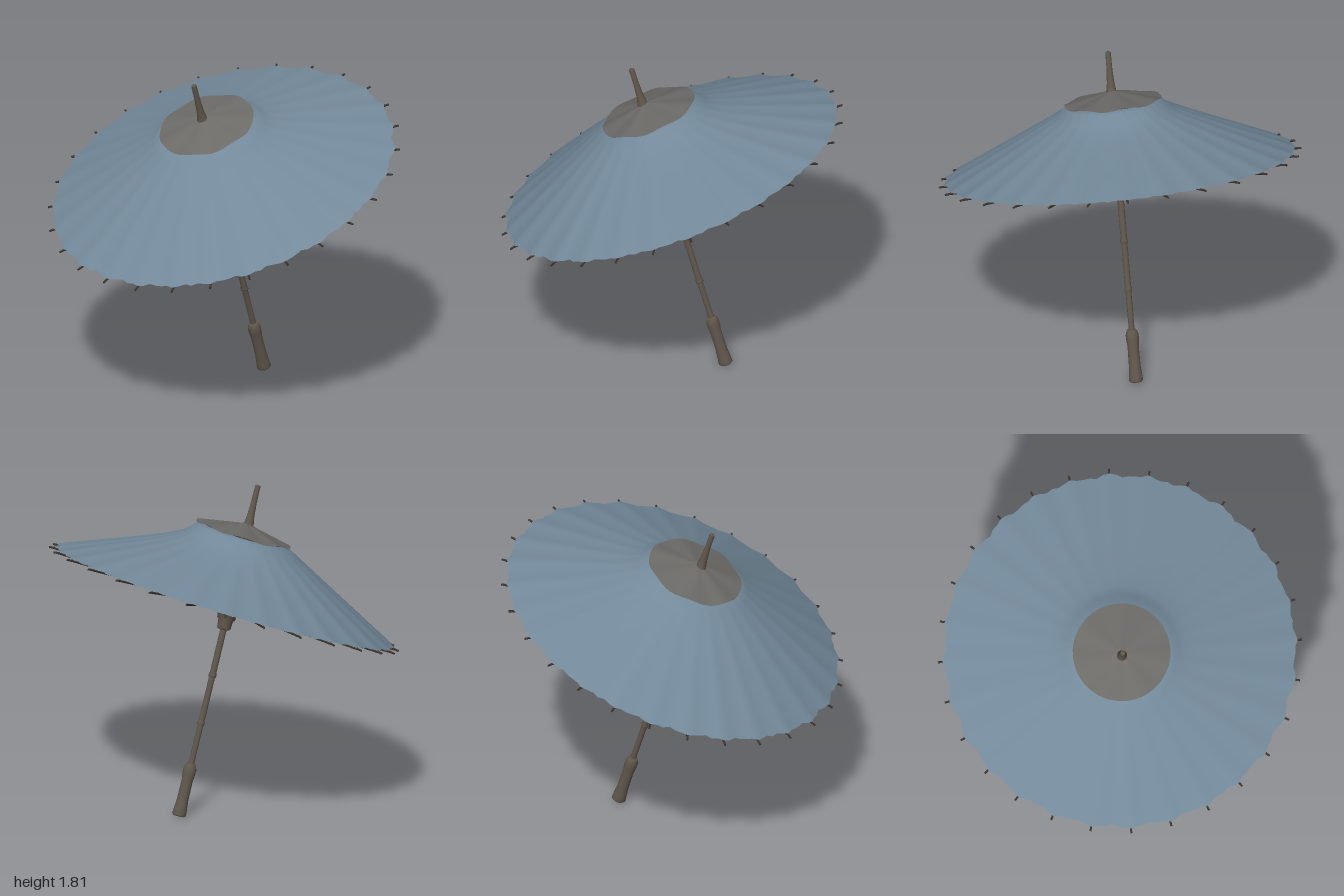
import * as THREE from 'three';
import { mergeGeometries } from 'three/addons/utils/BufferGeometryUtils.js';

const RIBS = 28;
const CAP_R = 0.265, RIM_R = 0.975;

const material = (name, color, side = THREE.FrontSide) => {
  const m = new THREE.MeshStandardMaterial({ color, side });
  m.name = name;
  return m;
};

// Point on a circle around the canopy axis
const polar = (r, a, h, dx = 0) => new THREE.Vector3(dx + r * Math.cos(a), h, r * Math.sin(a));

// Thin tapered rod between two points
function rod(a, b, r0, r1) {
  const dir = b.clone().sub(a);
  const g = new THREE.CylinderGeometry(r1, r0, dir.length(), 5);
  g.applyQuaternion(new THREE.Quaternion().setFromUnitVectors(new THREE.Vector3(0, 1, 0), dir.normalize()));
  const mid = a.clone().add(b).multiplyScalar(0.5);
  return g.translate(mid.x, mid.y, mid.z);
}

// Height of the cloth: nearly a cone, sagging more on the +x side
function clothHeight(r, a) {
  const s = Math.max(0, (r - CAP_R) / (RIM_R - CAP_R));
  const sag = 0.05 * (0.5 + 0.5 * Math.cos(a)) * Math.sin(Math.PI * Math.min(1, s ** 0.4));
  return 0.368 - 0.356 * s - sag;
}

// Pleated cloth with a scalloped, slightly ragged rim
function canopyGeometry() {
  const sub = 6, cols = RIBS * sub, rows = 16, pos = [], idx = [];
  for (let i = 0; i <= rows; i++) {
    const s = i / rows;
    for (let j = 0; j < cols; j++) {
      const a = (j / cols) * Math.PI * 2;
      const between = Math.sin((j % sub) / sub * Math.PI);
      const ragged = 0.007 * Math.sin(j * 2.3) * between;
      const edge = RIM_R - 0.02 * between + ragged;
      const r = 0.22 + (edge - 0.22) * s;
      const p = polar(r, a, clothHeight(r, a) - 0.010 * between * s);
      pos.push(p.x, p.y, p.z);
      if (i < rows) {
        const k = i * cols + j, n = i * cols + (j + 1) % cols;
        idx.push(k, n, k + cols, n, n + cols, k + cols);
      }
    }
  }
  const g = new THREE.BufferGeometry();
  g.setAttribute('position', new THREE.Float32BufferAttribute(pos, 3));
  g.setIndex(idx);
  g.computeVertexNormals();
  return g;
}

// Shallow cone of gathered cloth around the tip
function capGeometry() {
  const g = new THREE.ConeGeometry(0.268, 0.062, RIBS * 2, 3, true);
  const p = g.attributes.position;
  for (let i = 0; i < p.count; i++) {
    const x = p.getX(i), z = p.getZ(i);
    const fold = Math.cos(Math.atan2(z, x) * 7) * 0.006 * Math.hypot(x, z) / 0.268;
    p.setY(i, p.getY(i) + 0.405 + fold);
  }
  g.computeVertexNormals();
  return g;
}

const lathe = (points, sides = 20) =>
  new THREE.LatheGeometry(points.map(([r, y]) => new THREE.Vector2(r, y)), sides);

export function createModel() {
  const cloth = material('blue cloth', 0x73899a, THREE.DoubleSide);
  const grey = material('grey cap cloth', 0x6b6a67, THREE.DoubleSide);
  const wood = material('brown wood', 0x5f564b);
  const dark = material('dark ribs', 0x40362e);

  const model = new THREE.Group();
  model.name = 'parasol';
  const add = (parent, name, geometry, mat) => {
    const mesh = new THREE.Mesh(geometry, mat);
    mesh.name = name;
    parent.add(mesh);
    return mesh;
  };

  // Pole, measured upward from the bottom of the handle
  const pole = new THREE.Group();
  pole.name = 'pole';
  pole.position.set(0.31, 0.01, 0);
  pole.rotation.z = 0.294;
  model.add(pole);
  add(pole, 'handle', lathe([[0, 0], [0.034, 0], [0.039, 0.006], [0.037, 0.03], [0.032, 0.09],
    [0.031, 0.2], [0.035, 0.235], [0.036, 0.265], [0.03, 0.285], [0.025, 0.295], [0, 0.297]]), wood);
  add(pole, 'shaft', lathe([[0.018, 0.28], [0.016, 0.32], [0.016, 0.51], [0.021, 0.522], [0.021, 0.53],
    [0.017, 0.54], [0.017, 0.785], [0.022, 0.796], [0.022, 0.804], [0.018, 0.815], [0.018, 1.65]]), wood);
  add(pole, 'runnerHub', lathe([[0.018, 1.062], [0.034, 1.062], [0.038, 1.07], [0.041, 1.115],
    [0.05, 1.12], [0.053, 1.15], [0.066, 1.16], [0.068, 1.19], [0.058, 1.205], [0.04, 1.225], [0.018, 1.225]]), wood);
  add(pole, 'crown', lathe([[0.018, 1.5], [0.05, 1.51], [0.05, 1.57], [0.018, 1.59]]), wood);
  add(pole, 'tip', lathe([[0.045, 1.62], [0.03, 1.645], [0.021, 1.70], [0.016, 1.78], [0.015, 1.875],
    [0.011, 1.88], [0, 1.88]]), wood);

  // Canopy assembly, tilted a little more than the pole
  const top = new THREE.Group();
  top.name = 'canopyAssembly';
  top.position.set(0, 1.2, 0);
  top.rotation.z = 0.369;
  model.add(top);
  add(top, 'canopy', canopyGeometry(), cloth);
  add(top, 'cap', capGeometry(), grey);

  // Long ribs from the runner to the rim, and short inner struts up to the cap
  const ribs = [], struts = [], tips = [];
  for (let i = 0; i < RIBS; i++) {
    const a = (i / RIBS) * Math.PI * 2;
    ribs.push(rod(polar(0.05, a, -0.025, -0.025), polar(0.985, a, 0.002), 0.007, 0.006));
    tips.push(rod(polar(0.965, a, 0.004), polar(1.0, a, 0), 0.006, 0.006));
    if (i % 2 === 0) struts.push(rod(polar(0.04, a, -0.01, -0.025), polar(0.3, a, clothHeight(0.3, a) - 0.012), 0.005, 0.005));
    struts.push(rod(polar(0.03, a, 0.35), polar(0.34, a, clothHeight(0.34, a) - 0.012), 0.005, 0.004));
  }
  add(top, 'ribs', mergeGeometries(ribs), dark);
  add(top, 'ribTips', mergeGeometries(tips), dark);
  add(top, 'innerStruts', mergeGeometries(struts), dark);

  // Binding ring under the cap
  const ring = new THREE.TorusGeometry(0.3, 0.005, 5, 56);
  ring.rotateX(Math.PI / 2);
  const rp = ring.attributes.position;
  for (let i = 0; i < rp.count; i++) {
    const a = Math.atan2(rp.getZ(i), rp.getX(i));
    rp.setY(i, rp.getY(i) + clothHeight(0.3, a) - 0.015);
  }
  add(top, 'bindingRing', ring, dark);

  return model;
}
